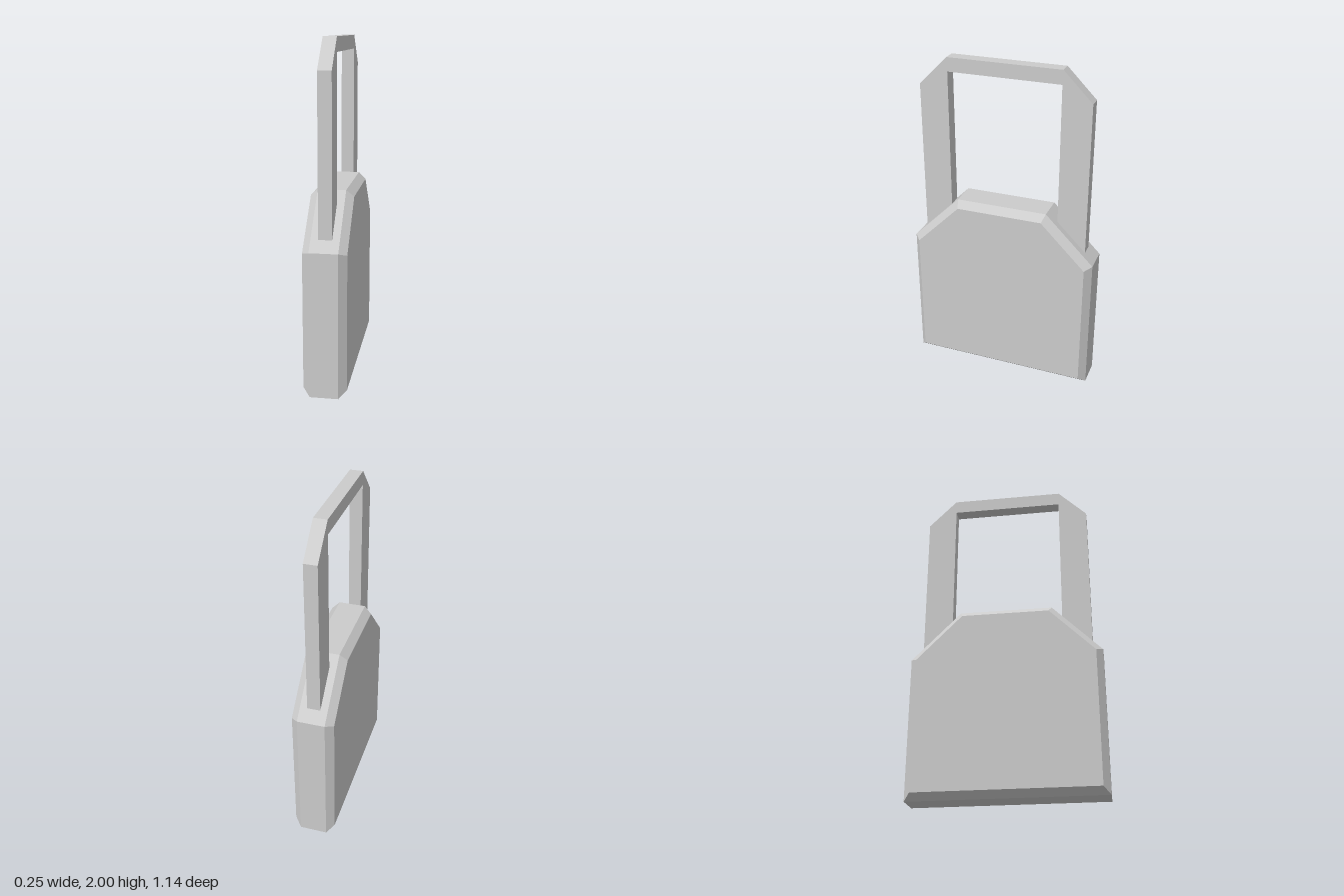
import * as THREE from 'three';

const material = new THREE.MeshStandardMaterial({ color: 0xcccccc, flatShading: true });

// Extrudes a (z, y) outline across x, centred on x = 0.
function plate(name, points, halfWidth, bevel) {
  const shape = new THREE.Shape(points.map(([z, y]) => new THREE.Vector2(z, y)));
  const depth = 2 * (halfWidth - (bevel ? bevel.bevelThickness : 0));
  const geometry = new THREE.ExtrudeGeometry(shape, { depth, bevelEnabled: !!bevel, ...bevel });
  geometry.translate(0, 0, -depth / 2);
  geometry.rotateY(Math.PI / 2);
  const mesh = new THREE.Mesh(geometry, material);
  mesh.name = name;
  return mesh;
}

// Completes a half outline (from bottom to top) with its mirror image.
const mirrored = (half) => [...half, ...half.map(([z, y]) => [-z, y]).reverse()];

export function createModel() {
  const group = new THREE.Group();
  group.name = 'padlock';

  // Body with cut shoulders and chamfered rims
  const body = mirrored([[0.572, 0], [0.572, 0.852], [0.278, 1.146]]);
  group.add(plate('body', body, 0.126, {
    bevelThickness: 0.044, bevelSize: 0.04, bevelOffset: -0.04, bevelSegments: 1,
  }));

  // Angular shackle, its legs sunk into the body
  const outer = mirrored([[0.512, 0.75], [0.512, 1.828], [0.34, 2]]);
  const inner = mirrored([[0.337, 0.75], [0.337, 1.917]]).reverse();
  group.add(plate('shackle', [...outer, ...inner], 0.039));

  return group;
}
